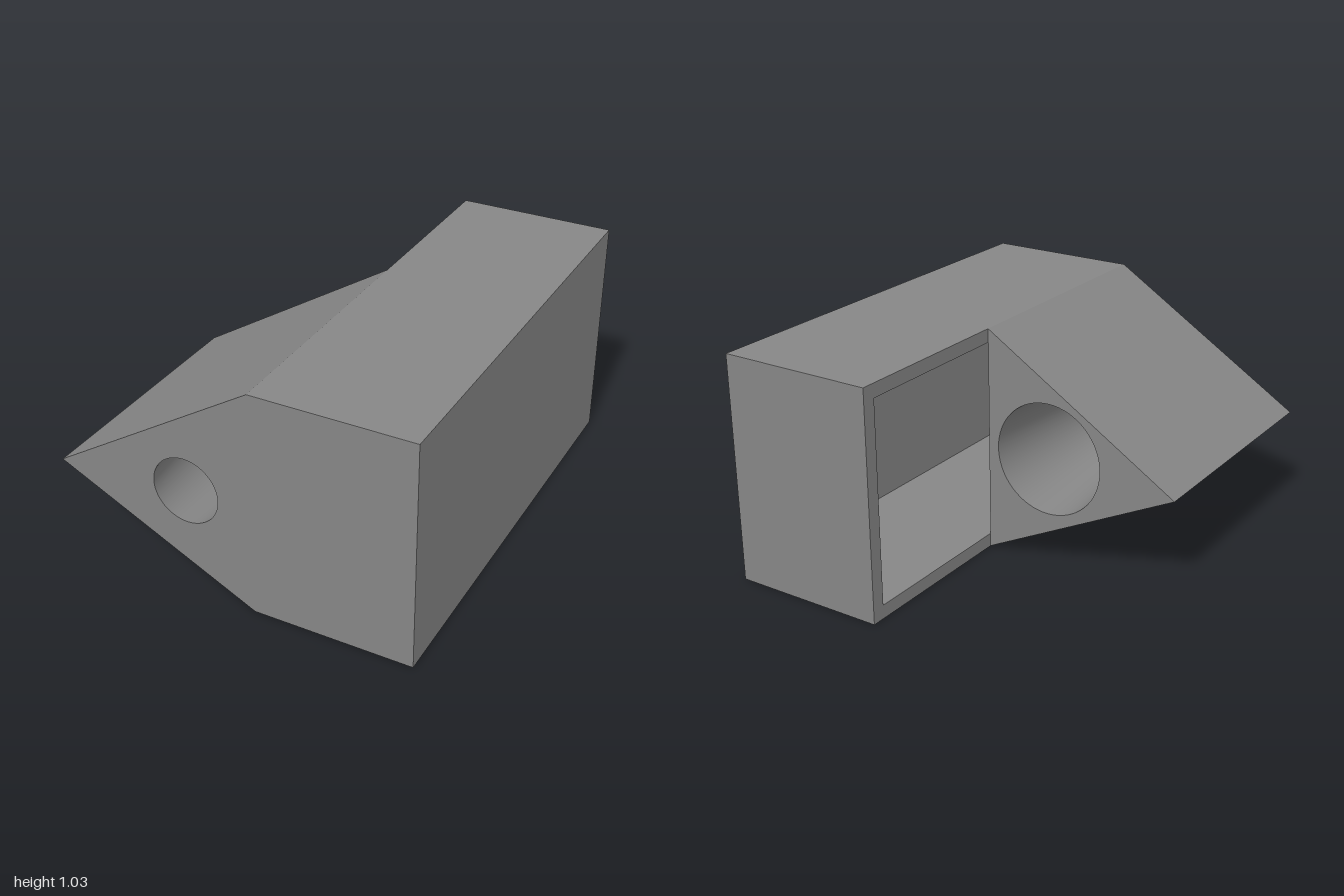
import * as THREE from 'three';
import { toCreasedNormals } from 'three/addons/utils/BufferGeometryUtils.js';

const X0 = 0.102, X1 = 0.813, H = 1.033, WALL = 0.062;
const WEDGE_BACK = -0.165;
const BORE = { x: -0.202, y: 0.498, back: 0.256, front: 0.151 };

const rectangle = (PathType, halfWidth, bottom, top) => new PathType([
  new THREE.Vector2(-halfWidth, bottom),
  new THREE.Vector2(halfWidth, bottom),
  new THREE.Vector2(halfWidth, top),
  new THREE.Vector2(-halfWidth, top),
]);

export function createModel() {
  const model = new THREE.Group();
  const material = new THREE.MeshStandardMaterial({ color: 0x868686 });
  const add = (name, geometry) => {
    const mesh = new THREE.Mesh(geometry, material);
    mesh.name = name;
    model.add(mesh);
    return mesh;
  };

  // Hollow block: four walls around a cavity that opens toward -x
  const outline = rectangle(THREE.Shape, 1, 0, H);
  outline.holes.push(rectangle(THREE.Path, 1 - WALL, WALL, H - WALL));
  const walls = new THREE.ExtrudeGeometry(outline, { depth: X1 - X0, bevelEnabled: false });
  walls.rotateY(Math.PI / 2).translate(X0, 0, 0);
  add('blockWalls', walls);

  // Panel closing the +x side of the cavity
  add('sidePanel', new THREE.BoxGeometry(WALL, H - 2 * WALL, 2 - 2 * WALL))
    .position.set(X1 - WALL / 2, H / 2, 0);

  // Pointed wedge covering the front of the opening
  const profile = new THREE.Shape([
    new THREE.Vector2(X0, 0),
    new THREE.Vector2(X0, H),
    new THREE.Vector2(-0.813, 0.458),
  ]);
  const bore = new THREE.Path();
  bore.absarc(BORE.x, BORE.y, BORE.back, 0, Math.PI * 2, true);
  profile.holes.push(bore);
  const wedge = new THREE.ExtrudeGeometry(profile, {
    depth: 1 - WEDGE_BACK, bevelEnabled: false, curveSegments: 32,
  });
  wedge.translate(0, 0, WEDGE_BACK);

  // Taper the through-hole: narrow its rim on the front face
  const position = wedge.attributes.position;
  const taper = BORE.front / BORE.back;
  for (let i = 0; i < position.count; i++) {
    const dx = position.getX(i) - BORE.x, dy = position.getY(i) - BORE.y;
    if (position.getZ(i) > 0 && Math.hypot(dx, dy) < BORE.back + 0.01) {
      position.setXY(i, BORE.x + dx * taper, BORE.y + dy * taper);
    }
  }
  add('wedge', toCreasedNormals(wedge, Math.PI / 6));

  return model;
}
